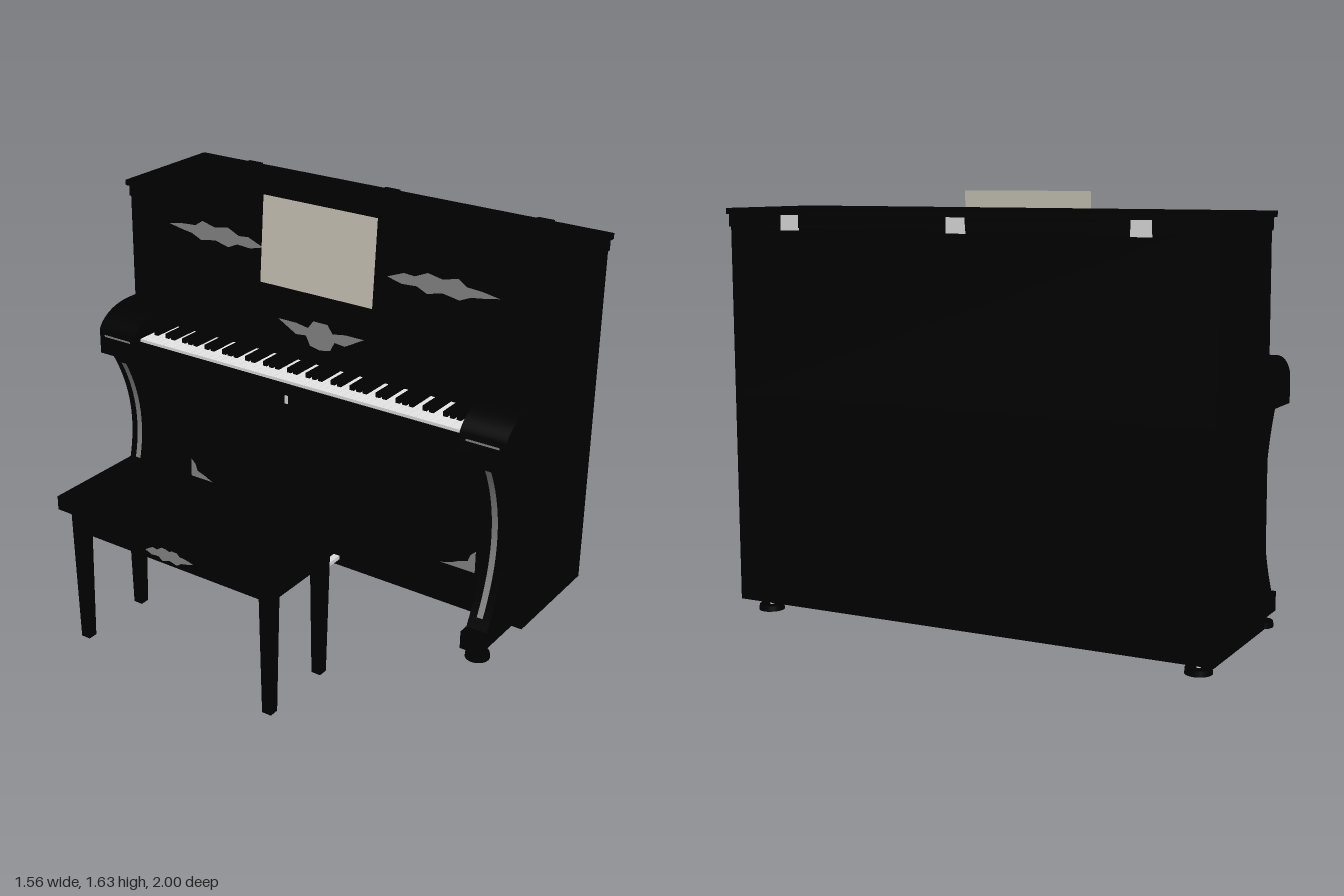
import * as THREE from 'three';
import { toCreasedNormals } from 'three/addons/utils/BufferGeometryUtils.js';

export function createModel() {
  const model = new THREE.Group();
  const mat = (name, color, extra = {}) => {
    const m = new THREE.MeshStandardMaterial({ color, ...extra });
    m.name = name;
    return m;
  };
  const black = mat('blackLacquer', 0x000000);
  const ivory = mat('ivoryWhite', 0xe6e6e6);
  const metal = mat('silverMetal', 0xdcdcdc);
  const inlayGrey = mat('greyInlay', 0x8a8a8a, { side: THREE.DoubleSide });
  const paper = mat('sheetPaper', 0xccc7b9, { side: THREE.DoubleSide });

  const add = (name, geo, m, parent = model) => {
    const mesh = new THREE.Mesh(geo, m);
    mesh.name = name;
    parent.add(mesh);
    return mesh;
  };
  // box given by its limits
  const box = (name, m, x0, x1, y0, y1, z0, z1, parent = model) => {
    const mesh = add(name, new THREE.BoxGeometry(x1 - x0, y1 - y0, z1 - z0), m, parent);
    mesh.position.set((x0 + x1) / 2, (y0 + y1) / 2, (z0 + z1) / 2);
    return mesh;
  };
  const group = (name) => {
    const g = new THREE.Group();
    g.name = name;
    model.add(g);
    return g;
  };
  // flat ornament on a plane facing -x; points are (z, y)
  const ornament = (name, pts, x, y, z, parent = model) => {
    const shape = new THREE.Shape(pts.map(([a, b]) => new THREE.Vector2(a, b)));
    const mesh = add(name, new THREE.ShapeGeometry(shape).rotateY(-Math.PI / 2), inlayGrey, parent);
    mesh.position.set(x, y, z);
    return mesh;
  };

  // Cabinet with framed front, the lower panel set deeper
  const cabinet = group('cabinet');
  box('lowerCabinet', black, 0.303, 0.765, 0.05, 0.86, -0.985, 0.985, cabinet);
  box('upperCabinet', black, 0.27, 0.765, 0.86, 1.55, -0.985, 0.985, cabinet);
  for (const s of [-1, 1]) {
    const stile = box('sideStile', black, 0.25, 0.305, 0.05, 1.55, -0.0925, 0.0925, cabinet);
    stile.position.z = s * 0.8925;
  }
  for (const [y0, y1] of [[0.05, 0.15], [0.8, 1.2], [1.48, 1.55]])
    box('frontRail', black, 0.25, 0.305, y0, y1, -0.8, 0.8, cabinet);
  box('lidMoulding', black, 0.246, 0.77, 1.5, 1.55, -0.99, 0.99, cabinet);
  box('lid', black, 0.235, 0.775, 1.547, 1.57, -1, 1, cabinet);

  // Back hinges: bright plate below the lid, dark leaf on its edge
  for (const z of [-0.71, 0, 0.71]) {
    box('hingePlate', metal, 0.764, 0.7745, 1.49, 1.547, z - 0.038, z + 0.038);
    box('hingeLeaf', black, 0.76, 0.779, 1.552, 1.574, z - 0.036, z + 0.036);
  }

  // Side arms, curved legs and feet
  const arm = new THREE.Shape();
  arm.moveTo(0.26, 0.855);
  arm.lineTo(0.26, 1.052);
  arm.lineTo(0.2, 1.052);
  arm.bezierCurveTo(0.1, 1.05, 0.03, 1.01, 0.01, 0.965);
  arm.lineTo(0.01, 0.855);
  const legCurve = new THREE.QuadraticBezierCurve(new THREE.Vector2(0.03, 0.856), new THREE.Vector2(0.25, 0.49), new THREE.Vector2(0.035, 0.124));
  const leg = new THREE.Shape([new THREE.Vector2(0.26, 0.124), new THREE.Vector2(0.26, 0.856), ...legCurve.getPoints(24)]);
  const extrude = (shape, depth) =>
    toCreasedNormals(new THREE.ExtrudeGeometry(shape, { depth, bevelEnabled: false, curveSegments: 16 }).translate(0, 0, -depth / 2), 0.5);
  for (const s of [-1, 1]) {
    const side = group(s > 0 ? 'rightHandSupport' : 'leftHandSupport');
    add('arm', extrude(arm, 0.195), black, side).position.z = s * 0.8875;
    add('curvedLeg', extrude(leg, 0.09), black, side).position.z = s * 0.895;
    box('legFoot', black, -0.01, 0.26, 0.05, 0.126, s * 0.895 - 0.045, s * 0.895 + 0.045, side);
    box('armStripe', inlayGrey, 0.0085, 0.012, 0.935, 0.943, s * 0.8875 - 0.07, s * 0.8875 + 0.07, side);
    // narrow inlay following the leg curve
    const strip = new THREE.PlaneGeometry(0.026, 1, 1, 20);
    const p = strip.attributes.position;
    for (let i = 0; i < p.count; i++) {
      const c = legCurve.getPoint(0.06 + 0.88 * (0.5 - p.getY(i)));
      p.setXYZ(i, c.x - 0.002, c.y, s * 0.895 + p.getX(i));
    }
    strip.computeVertexNormals();
    add('legInlay', strip, inlayGrey, side);
    // casters
    for (const x of [0.047, 0.685]) {
      add('footPad', new THREE.CylinderGeometry(0.048, 0.05, 0.021, 24), black, side).position.set(x, 0.0105, s * 0.9);
      add('casterStem', new THREE.CylinderGeometry(0.009, 0.009, 0.028, 12), metal, side).position.set(x, 0.034, s * 0.9);
      add('casterCup', new THREE.CylinderGeometry(0.02, 0.014, 0.014, 16), metal, side).position.set(x, 0.041, s * 0.9);
    }
  }

  // Key bed, key slip and lock
  box('keyBed', black, 0.03, 0.26, 0.86, 0.915, -0.8, 0.8);
  box('keySlip', black, 0.012, 0.036, 0.86, 0.945, -0.8, 0.8);
  box('lockPlate', metal, 0.0095, 0.013, 0.87, 0.905, -0.007, 0.007);

  // Keyboard: 52 white keys from A, black keys between
  const keyboard = group('keyboard');
  const w = 1.575 / 52;
  for (let i = 0; i < 52; i++) {
    const z = -0.7875 + i * w;
    box('whiteKey', ivory, 0.045, 0.252, 0.915, 0.953, z + 0.0005, z + w - 0.0005, keyboard);
    if (i < 51 && ![1, 4].includes(i % 7))
      box('blackKey', black, 0.115, 0.252, 0.945, 0.973, z + w - 0.0095, z + w + 0.0095, keyboard);
  }

  // Music shelf and leaning single sheet
  const stand = group('musicStand');
  box('shelfBack', black, 0.228, 0.252, 1.17, 1.25, -0.585, 0.585, stand);
  box('shelf', black, 0.187, 0.252, 1.232, 1.252, -0.585, 0.585, stand);
  box('shelfLip', black, 0.187, 0.198, 1.25, 1.277, -0.585, 0.585, stand);
  const sheet = add('musicSheet', new THREE.PlaneGeometry(0.54, 0.384).rotateY(-Math.PI / 2), paper, stand);
  sheet.position.set(0.219, 1.443, 0);
  sheet.rotation.z = -0.07;

  // Floral inlays on the panels
  const spray = [[-0.26, -0.01], [-0.18, 0.025], [-0.13, 0.02], [-0.07, 0.05], [0, 0.035], [0.07, 0.055], [0.11, 0.025], [0.18, 0.02],
    [0.26, 0.005], [0.19, -0.01], [0.13, -0.02], [0.08, -0.045], [0, -0.03], [-0.07, -0.05], [-0.12, -0.025], [-0.19, -0.03]];
  for (const s of [-1, 1])
    ornament('upperPanelInlay', spray.map(([a, b]) => [s * a * 0.95, b * 0.85]), 0.266, 1.405, s * 0.545);
  const half = [[0.05, -0.055], [0.07, -0.015], [0.12, -0.02], [0.21, 0.03], [0.12, 0.03], [0.06, 0.02], [0.035, 0.055]];
  ornament('fallboardInlay', [[0, -0.065], ...half, ...half.map(([a, b]) => [-a, b]).reverse()], 0.247, 1.085, 0);
  for (const s of [-1, 1])
    ornament('lowerPanelCornerInlay', [[0.08, -0.04], [0.08, 0.06], [0.055, 0.035], [0.045, 0.005], [0, -0.01], [-0.03, -0.025], [-0.08, -0.04]]
      .map(([a, b]) => [s * a, b]), 0.3, 0.24, s * 0.655);

  // Pedals
  const pedals = group('pedals');
  for (const z of [-0.095, 0, 0.095]) {
    box('pedalBar', metal, 0.15, 0.27, 0.078, 0.096, z - 0.014, z + 0.014, pedals);
    const tip = add('pedalTip', new THREE.CylinderGeometry(0.022, 0.022, 0.018, 20), metal, pedals);
    tip.scale.x = 1.6;
    tip.position.set(0.155, 0.0875, z);
  }

  // Bench: seat on an open apron frame with tapered legs
  const bench = group('bench');
  box('benchSeat', black, -0.785, -0.345, 0.578, 0.635, -0.517, 0.513, bench);
  for (const x of [-0.73, -0.4])
    box('longApron', black, x - 0.01, x + 0.01, 0.48, 0.58, -0.45, 0.45, bench);
  for (const z of [-0.455, 0.455])
    box('endApron', black, -0.73, -0.4, 0.48, 0.58, z - 0.01, z + 0.01, bench);
  for (const x of [-0.727, -0.403])
    for (const z of [-0.45, 0.45]) {
      const g = new THREE.BoxGeometry(0.056, 0.58, 0.056);
      const p = g.attributes.position;
      for (let i = 0; i < p.count; i++)
        if (p.getY(i) < 0) p.setXYZ(i, p.getX(i) * 0.72, p.getY(i), p.getZ(i) * 0.72);
      g.computeVertexNormals();
      add('benchLeg', g, black, bench).position.set(x, 0.29, z);
    }
  const benchSpray = spray.map(([a, b]) => [a * 0.45, b * 0.6]);
  for (const x of [-0.743, -0.717])
    ornament('benchInlay', benchSpray, x, 0.52, 0, bench);

  return model;
}
